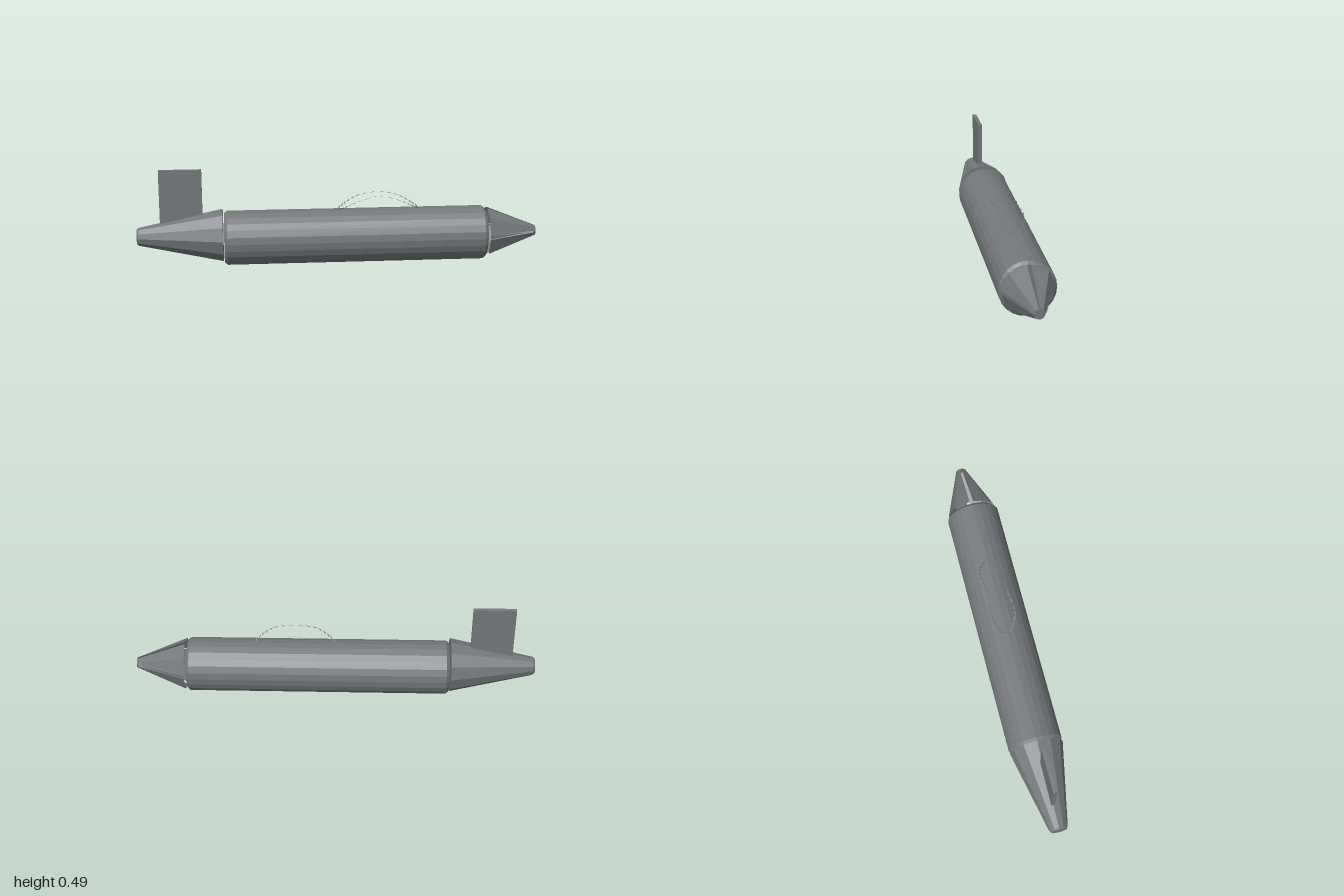
import * as THREE from 'three';

const material = new THREE.MeshStandardMaterial({ color: 0x74787b, flatShading: true, side: THREE.DoubleSide });

function addMesh(group, name, geometry, x = 0, y = 0, z = 0) {
  const mesh = new THREE.Mesh(geometry, material);
  mesh.name = name;
  mesh.position.set(x, y, z);
  group.add(mesh);
  return mesh;
}

// Solid of revolution along x from [x, radius] pairs
function turned(profile, sides) {
  const points = profile.map(([x, r]) => new THREE.Vector2(r, x));
  return new THREE.LatheGeometry(points, sides).rotateZ(-Math.PI / 2);
}

function fromTriangles(points) {
  const geometry = new THREE.BufferGeometry().setFromPoints(points);
  geometry.computeVertexNormals();
  return geometry;
}

// One quarter of the nose: a two-facet shell tapering to the tip
function nosePanel() {
  const section = (x, r, c, gap) => [[r, gap], [c, c], [gap, r]].map(([y, z]) => new THREE.Vector3(x, y, z));
  const rim = section(0.75, 0.125, 0.092, 0.01);
  const tip = section(1, 0.025, 0.018, 0.004);
  const triangles = [];
  for (let i = 0; i < 2; i++) {
    triangles.push(rim[i], rim[i + 1], tip[i + 1], rim[i], tip[i + 1], tip[i]);
  }
  return fromTriangles(triangles);
}

// Narrow pointed rib lying inside a side slot of the nose
function noseRib() {
  return fromTriangles([
    new THREE.Vector3(0.75, -0.008, 0.12),
    new THREE.Vector3(0.98, 0, 0.03),
    new THREE.Vector3(0.75, 0.008, 0.12),
  ]);
}

// Row of thin pointed slats along one edge of the canopy
function canopySlats(side) {
  const path = new THREE.CatmullRomCurve3([
    [0, 0.275, 0.024], [0.04, 0.297, 0.05], [0.1, 0.325, 0.064], [0.2, 0.345, 0.047],
    [0.3, 0.325, 0.064], [0.36, 0.297, 0.05], [0.4, 0.275, 0.024],
  ].map(([x, y, z]) => new THREE.Vector3(x, y, z * side)));
  const count = 16;
  const triangles = [];
  for (let i = 0; i < count; i++) {
    const start = path.getPoint(i / count);
    const end = path.getPoint((i + 0.85) / count);
    const point = path.getPoint((i + (i < count / 2 ? 0.2 : 0.7)) / count);
    const size = 0.022 * (1 - 0.8 * Math.sin(Math.PI * (i + 0.5) / count));
    point.y -= size * 0.6;
    point.z -= side * size;
    triangles.push(start, end, point);
  }
  return fromTriangles(triangles);
}

export function createModel() {
  const model = new THREE.Group();
  model.name = 'aircraftBody';

  // Main tube with chamfered ends
  addMesh(model, 'fuselage', turned([
    [-0.57, 0], [-0.57, 0.122], [-0.555, 0.135], [0.725, 0.135], [0.74, 0.122], [0.74, 0],
  ], 24), 0, 0.135);

  // Tapered tail, set slightly higher than the tube
  addMesh(model, 'tailCone', turned([
    [-1, 0], [-1, 0.038], [-0.99, 0.046], [-0.576, 0.134], [-0.576, 0],
  ], 12), 0, 0.151);

  // Upright fin
  addMesh(model, 'tailFin', new THREE.BoxGeometry(0.21, 0.305, 0.02), -0.78, 0.333, 0);

  // Four nose panels with slots between them, closed by a small tip
  const nose = new THREE.Group();
  nose.name = 'nose';
  nose.position.y = 0.137;
  model.add(nose);
  for (let i = 0; i < 4; i++) {
    addMesh(nose, 'nosePanel', nosePanel()).rotation.x = i * Math.PI / 2;
  }
  for (const turn of [0, Math.PI]) {
    addMesh(nose, 'noseRib', noseRib()).rotation.x = turn;
  }
  addMesh(nose, 'noseTip', new THREE.CircleGeometry(0.025, 8).rotateY(Math.PI / 2), 1);

  // Slatted canopy edges, mirrored
  for (const side of [1, -1]) {
    addMesh(model, 'canopySlats', canopySlats(side));
  }
  return model;
}
